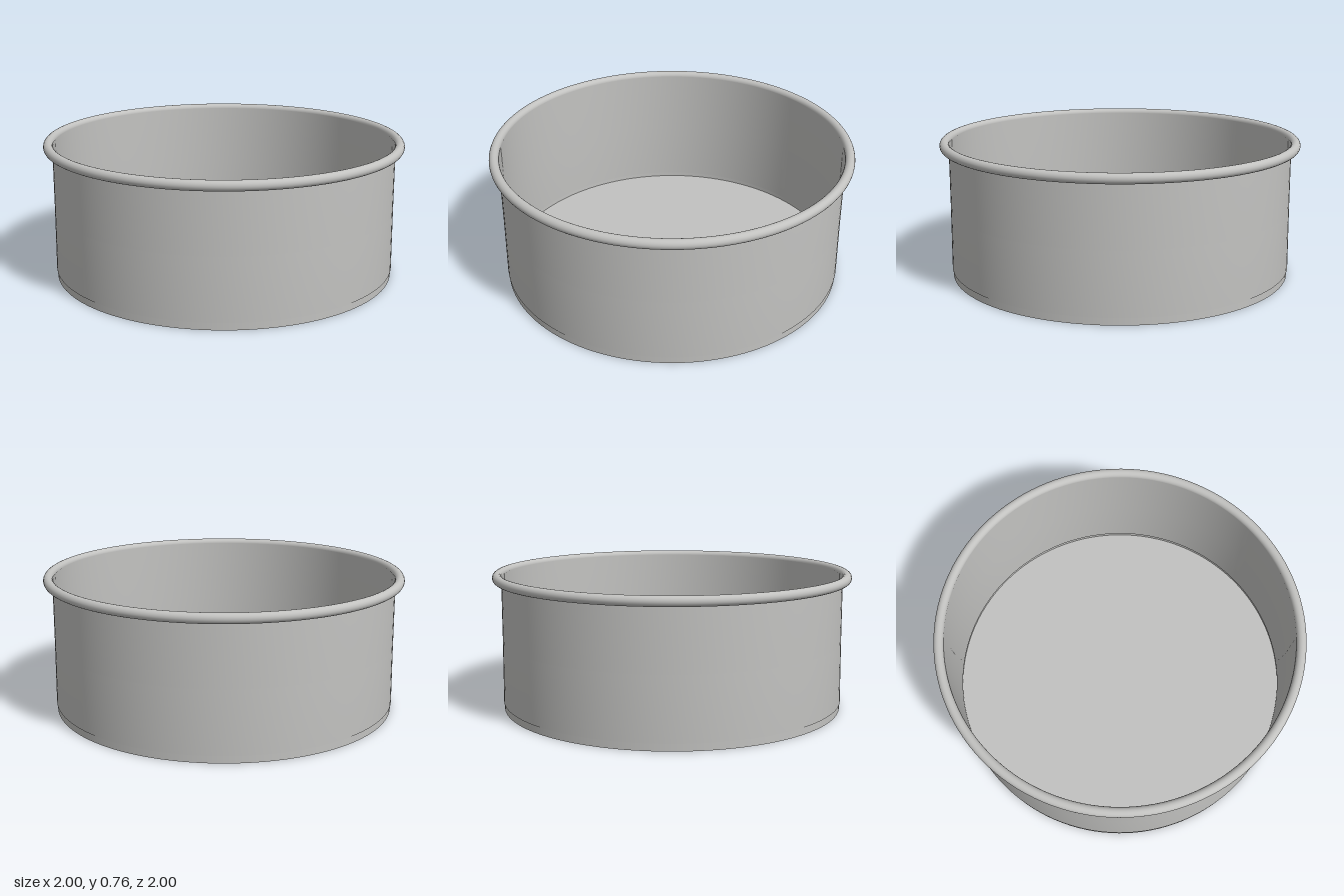
import * as THREE from 'three';

export function createModel() {
  const group = new THREE.Group();
  group.name = 'roundBakingTin';
  const steel = new THREE.MeshStandardMaterial({ color: 0xc2c2c0 });
  steel.name = 'brushed steel';
  const thinSteel = new THREE.MeshStandardMaterial({ color: 0xc2c2c0, side: THREE.DoubleSide });
  thinSteel.name = 'thin steel';
  const SEGMENTS = 128;

  const add = (name, geometry, material, y) => {
    const mesh = new THREE.Mesh(geometry, material);
    mesh.name = name;
    mesh.position.y = y;
    group.add(mesh);
    return mesh;
  };

  // Thin side wall, slightly flared at the foot; softly shaded around its edges
  const profile = [
    [0.953, 0.38], [0.951, 0.74], [0.946, 0.74],
    [0.947, 0.38], [0.948, 0.04], [0.957, 0.04], [0.953, 0.38],
  ].map(([r, y]) => new THREE.Vector2(r, y));
  add('sideWall', new THREE.LatheGeometry(profile, SEGMENTS), steel, 0);

  // Rolled rim
  const rim = new THREE.TorusGeometry(0.973, 0.027, 20, SEGMENTS);
  rim.rotateX(Math.PI / 2);
  add('rolledRim', rim, steel, 0.738);

  // Base: a flat plate inside a low band
  add('baseBand', new THREE.CylinderGeometry(0.953, 0.953, 0.04, SEGMENTS, 1, true), thinSteel, 0.02);
  add('basePlate', new THREE.CylinderGeometry(0.952, 0.952, 0.014, SEGMENTS), steel, 0.007);

  return group;
}
